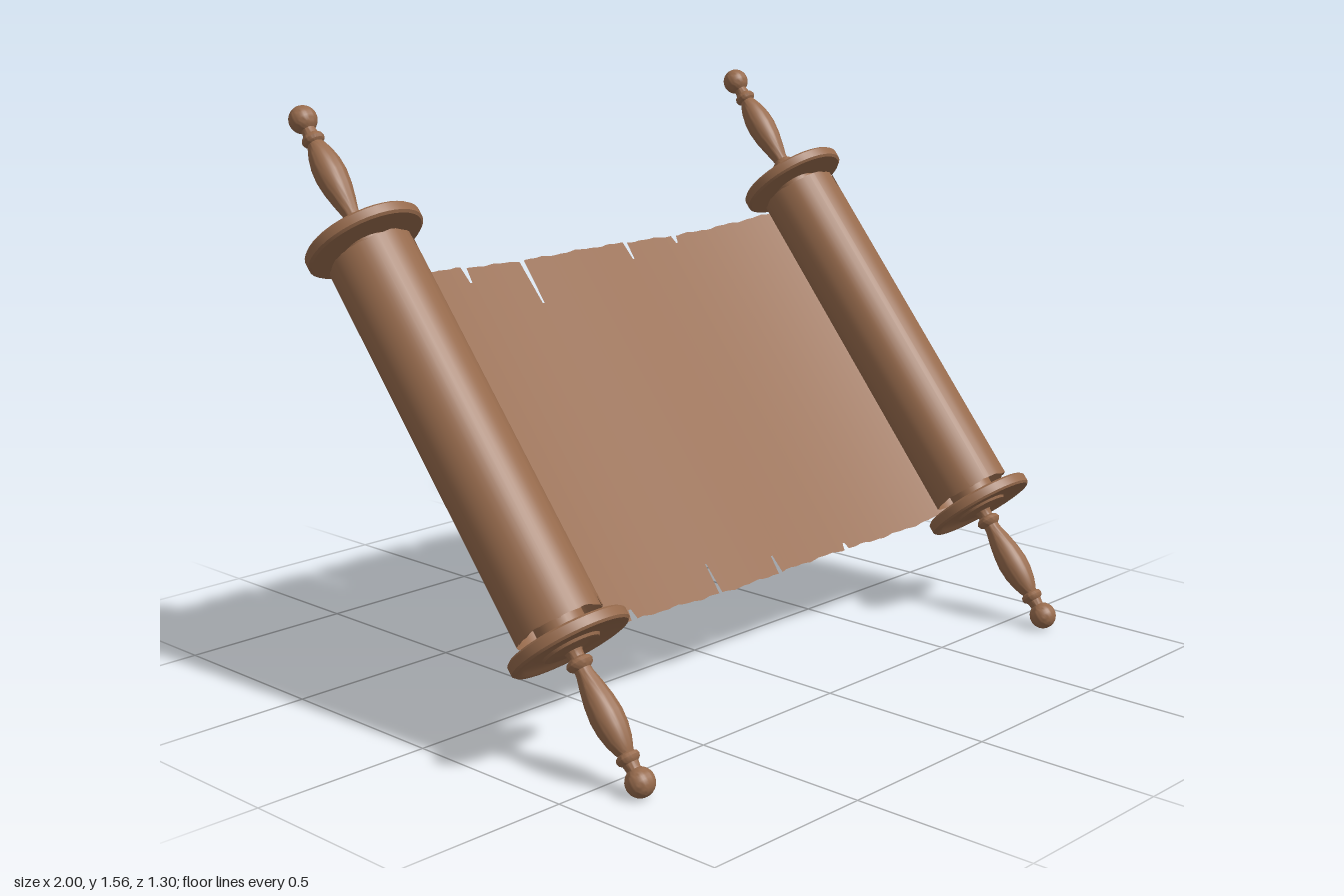
import * as THREE from 'three';
import { toCreasedNormals } from 'three/addons/utils/BufferGeometryUtils.js';

const ROLL_X = 0.84;   // distance of each roller from the middle
const WRAP = 0.12;     // mean roll radius, turns ribbon length into angle
const TURNS = 2.4;     // windings of the sheet on each roller

// Tears along each edge: [position, depth, half width]
const TOP_TEARS = [[-0.42, 0.05, 0.01], [-0.205, 0.14, 0.009], [0.21, 0.06, 0.008],
  [0.41, 0.025, 0.01], [-0.62, 0.012, 0.03], [1.16, 0.05, 0.01], [-1.3, 0.04, 0.01]];
const BOTTOM_TEARS = [[-0.46, 0.03, 0.012], [-0.125, 0.09, 0.006], [0.122, 0.055, 0.008],
  [0.41, 0.02, 0.01], [1.26, 0.07, 0.008], [1.33, 0.04, 0.008], [-1.28, 0.03, 0.012]];

// Half length of the sheet at ribbon position u, worn and torn
function edge(u, tears, phase) {
  let h = 0.547 + 0.003 * Math.sin(9 * u + phase) + 0.002 * Math.sin(41 * u + 2 * phase)
    + 0.0015 * Math.sin(97 * u + phase);
  if (Math.abs(u) > ROLL_X) h -= 0.007;
  for (const [x, depth, w] of tears) {
    h -= depth * Math.min(1, 1.6 * Math.max(0, 1 - Math.abs(u - x) / w));
  }
  return h;
}

// Cross-section of the sheet: a shallow sag, then a spiral around each roller
function section(u) {
  const a = Math.abs(u), side = Math.sign(u);
  if (a <= ROLL_X) return [u, -0.172 + 0.042 * (a / ROLL_X) ** 3];
  const phi = (a - ROLL_X) / WRAP;
  const r = 0.117 - 0.0006 * phi + 0.013 * Math.exp(-2 * phi);
  return [side * (ROLL_X + r * Math.sin(phi)), -r * Math.cos(phi)];
}

function sheetGeometry() {
  const end = ROLL_X + WRAP * TURNS * Math.PI * 2;
  const cols = [];
  const n = Math.round(2 * end / 0.02);
  for (let i = 0; i <= n; i++) cols.push(-end + 2 * end * i / n);
  for (const [x, , w] of [...TOP_TEARS, ...BOTTOM_TEARS]) {
    cols.push(x - w, x - 0.375 * w, x + 0.375 * w, x + w);
  }
  cols.sort((a, b) => a - b);
  const pos = [], index = [];
  cols.forEach((u, i) => {
    const [x, z] = section(u);
    pos.push(x, -edge(u, BOTTOM_TEARS, 2), z, x, edge(u, TOP_TEARS, 0.5), z);
    if (i) {
      const b = 2 * i, a = b - 2;
      index.push(a, b, b + 1, a, b + 1, a + 1);
    }
  });
  const g = new THREE.BufferGeometry();
  g.setAttribute('position', new THREE.Float32BufferAttribute(pos, 3));
  g.setIndex(index);
  g.computeVertexNormals();
  return g;
}

function lathe(points) {
  const g = new THREE.LatheGeometry(points.map(([r, y]) => new THREE.Vector2(r, y)), 40);
  return toCreasedNormals(g, 0.6);
}

export function createModel() {
  const brown = new THREE.MeshStandardMaterial({ color: 0x966a4c });
  brown.name = 'brown';
  brown.side = THREE.DoubleSide;

  const model = new THREE.Group();
  model.name = 'scroll';
  const tilted = new THREE.Group();
  tilted.name = 'tiltedScroll';
  tilted.position.y = 0.785;
  tilted.rotation.x = -0.688;
  model.add(tilted);

  const add = (parent, name, geometry) => {
    const m = new THREE.Mesh(geometry, brown);
    m.name = name;
    parent.add(m);
    return m;
  };

  add(tilted, 'sheet', sheetGeometry());

  // Flange with a raised rim and a low hub ring
  const flange = lathe([[0, 0.567], [0.153, 0.567], [0.16, 0.573], [0.16, 0.596], [0.154, 0.602],
    [0.138, 0.602], [0.13, 0.597], [0.078, 0.597], [0.074, 0.604], [0.066, 0.606],
    [0.05, 0.603], [0.03, 0.61], [0, 0.61]]);

  // Turned handle: collar, baluster, ring and ball
  const profile = [[0.03, 0.6], [0.022, 0.615], [0.021, 0.628], [0.031, 0.634], [0.035, 0.643],
    [0.031, 0.652], [0.022, 0.659], [0.023, 0.672], [0.031, 0.705], [0.039, 0.745],
    [0.043, 0.785], [0.041, 0.82], [0.034, 0.853], [0.025, 0.878], [0.021, 0.886],
    [0.028, 0.891], [0.031, 0.899], [0.028, 0.907], [0.021, 0.913], [0.019, 0.926]];
  for (let i = 0; i <= 12; i++) {
    const a = -1.05 + (Math.PI / 2 + 1.05) * i / 12;
    profile.push([Math.max(0, 0.038 * Math.cos(a)), 0.963 + 0.038 * Math.sin(a)]);
  }
  const handle = lathe(profile);
  const core = new THREE.CylinderGeometry(0.065, 0.065, 1.14, 32);

  for (const side of [-1, 1]) {
    const roller = new THREE.Group();
    roller.name = side > 0 ? 'leftRoller' : 'rightRoller';
    roller.position.x = side * ROLL_X;
    tilted.add(roller);
    add(roller, 'core', core);
    for (const end of ['top', 'bottom']) {
      const g = new THREE.Group();
      g.name = end + 'End';
      if (end === 'bottom') g.rotation.x = Math.PI;
      add(g, end + 'Flange', flange);
      add(g, end + 'Handle', handle);
      roller.add(g);
    }
  }
  return model;
}
